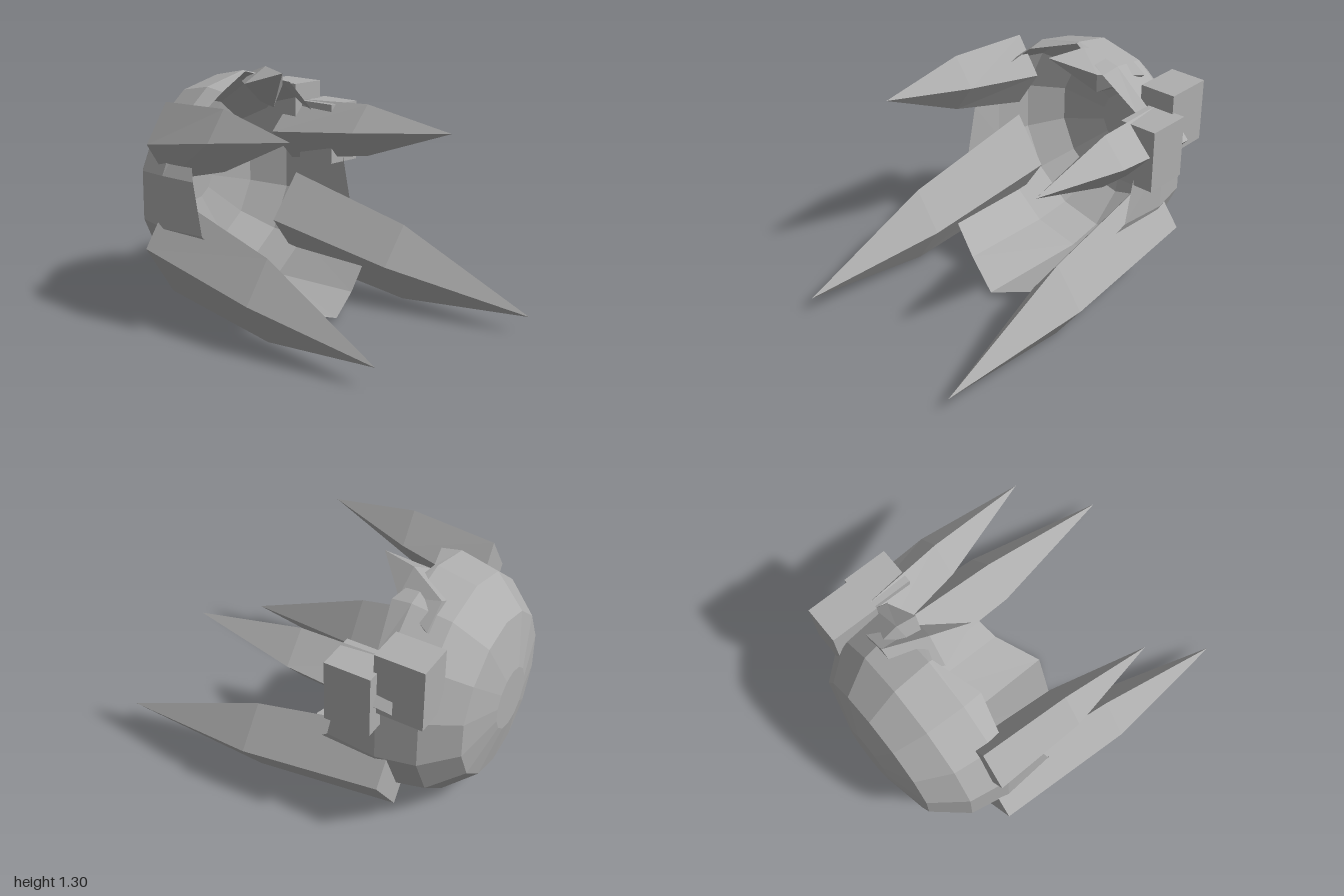
import * as THREE from 'three';

const grey = new THREE.MeshStandardMaterial({ color: 0xaeaeae, flatShading: true, side: THREE.DoubleSide });
grey.name = 'hull grey';

// Skin a list of equal-length closed rings, with an end point at each end
function loft(name, start, rings, end) {
  const n = rings[0].length;
  const pos = [start, ...rings.flat(), end].flat();
  const index = [];
  const at = (r, k) => 1 + r * n + (k % n);
  const last = 1 + rings.length * n;
  for (let k = 0; k < n; k++) {
    index.push(0, at(0, k + 1), at(0, k));
    for (let r = 0; r < rings.length - 1; r++) {
      index.push(at(r, k), at(r, k + 1), at(r + 1, k + 1), at(r, k), at(r + 1, k + 1), at(r + 1, k));
    }
    if (end.length) index.push(at(rings.length - 1, k), at(rings.length - 1, k + 1), last);
  }
  const indexed = new THREE.BufferGeometry();
  indexed.setAttribute('position', new THREE.Float32BufferAttribute(pos, 3));
  indexed.setIndex(index);
  const geo = indexed.toNonIndexed();
  geo.computeVertexNormals();
  const mesh = new THREE.Mesh(geo, grey);
  mesh.name = name;
  return mesh;
}

// Open bowl facing +z, with a ragged rim and a long lower lip
function shell() {
  const sides = 14, cx = -0.005, cy = 0.645, squash = 0.94;
  const point = (k, r, z) => {
    const a = (k / sides) * Math.PI * 2;
    return [cx + Math.sin(a) * r * squash, cy + Math.cos(a) * r, z];
  };
  const ring = (r, z) => Array.from({ length: sides }, (_, k) => point(k, r, z));
  const rimZ = [-0.54, -0.45, -0.49, -0.34, -0.28, -0.04, 0.02, 0.14];
  const rim = Array.from({ length: sides }, (_, k) => {
    const m = Math.min(k, sides - k);
    return point(k, m === 0 ? 0.635 : 0.62, rimZ[m]);
  });
  return loft('shell', [cx, cy, -1],
    [ring(0.168, -1), ring(0.445, -0.94), ring(0.597, -0.77), ring(0.64, -0.56), rim], []);
}

// Four-sided spike: diamond [x, y, z, halfWidth, halfHeight] at base and middle, then a tip
function spike(name, base, mid, tip) {
  const diamond = ([x, y, z, w, h]) => [[x, y + h, z], [x + w, y, z], [x, y - h, z], [x - w, y, z]];
  return loft(name, base.slice(0, 3), [diamond(base), diamond(mid)], tip);
}

function box(name, x0, x1, y0, y1, z0, z1) {
  const mesh = new THREE.Mesh(new THREE.BoxGeometry(x1 - x0, y1 - y0, z1 - z0), grey);
  mesh.position.set((x0 + x1) / 2, (y0 + y1) / 2, (z0 + z1) / 2);
  mesh.name = name;
  return mesh;
}

export function createModel() {
  const model = new THREE.Group();
  model.name = 'spikedShell';
  model.add(shell());

  // Four forward spikes around the opening
  model.add(
    spike('lowerLeftSpike', [0.47, 0.375, -0.62, 0.19, 0.255], [0.497, 0.237, 0.18, 0.158, 0.212], [0.525, 0.1, 1]),
    spike('lowerRightSpike', [-0.488, 0.395, -0.62, 0.178, 0.27], [-0.535, 0.253, 0.16, 0.145, 0.218], [-0.583, 0.11, 0.91]),
    spike('upperLeftSpike', [0.49, 0.885, -0.67, 0.165, 0.175], [0.53, 0.935, -0.12, 0.13, 0.147], [0.57, 0.98, 0.44]),
    spike('upperRightSpike', [-0.495, 0.95, -0.63, 0.137, 0.21], [-0.525, 1.02, -0.15, 0.112, 0.16], [-0.553, 1.078, 0.34]),
  );

  // Slanted broken shard on the top rim
  model.add(loft('topShard', [0.23, 1.16, -0.69], [
    [[0.2, 1.25, -0.69], [0.34, 1.155, -0.69], [0.25, 1.07, -0.69], [0.11, 1.2, -0.69]],
    [[0.09, 1.305, -0.48], [0.2, 1.19, -0.46], [0.17, 1.065, -0.5], [-0.05, 1.22, -0.5]],
  ], [0.02, 1.29, -0.28]));

  // Two blocks mounted on the upper left
  model.add(
    box('rearBlock', 0.413, 0.617, 0.822, 1.163, -0.832, -0.567),
    box('frontBlock', 0.465, 0.677, 0.722, 1.062, -0.585, -0.335),
  );
  return model;
}
